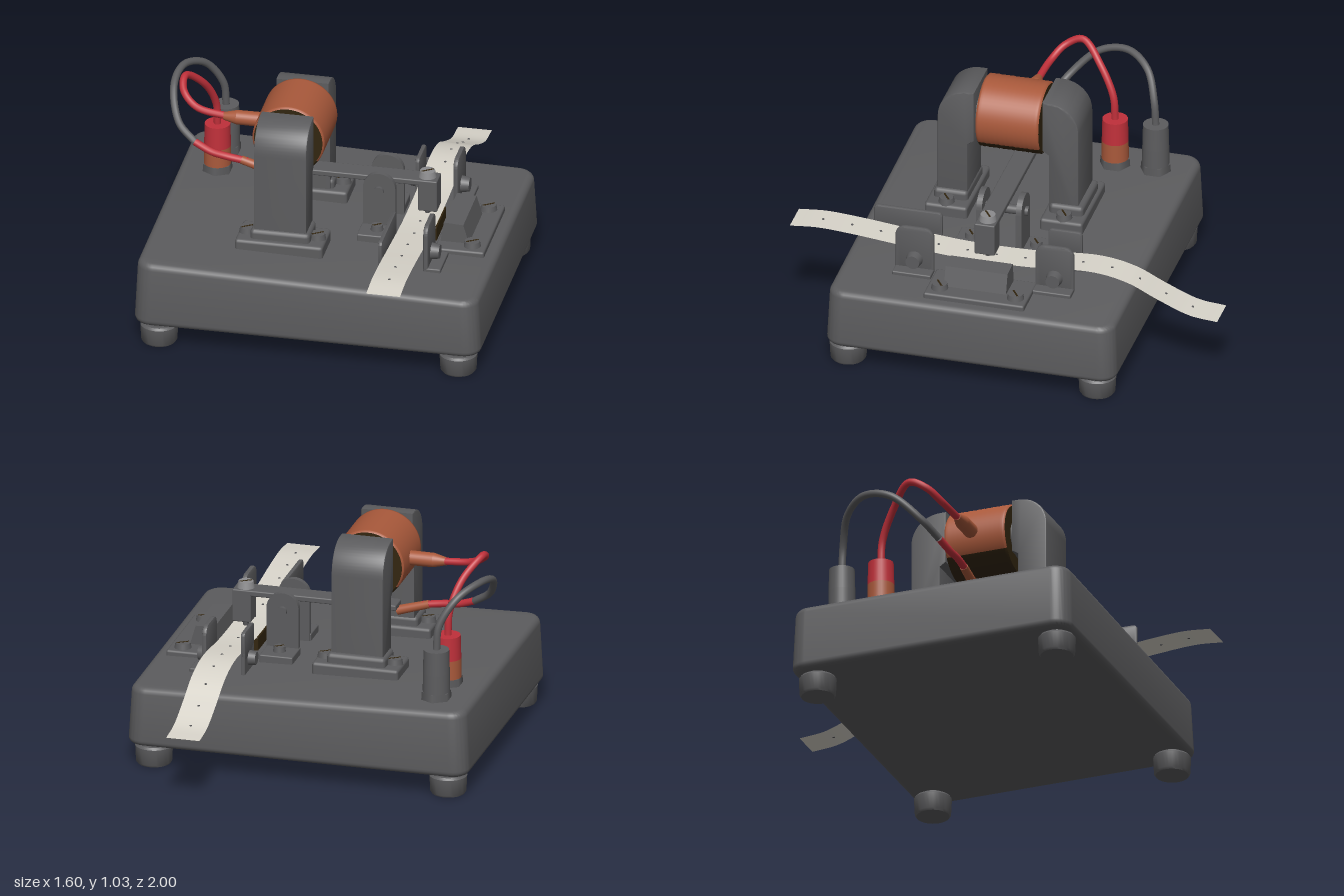
import * as THREE from 'three';
import { toCreasedNormals } from 'three/addons/utils/BufferGeometryUtils.js';
import { RoundedBoxGeometry } from 'three/addons/geometries/RoundedBoxGeometry.js';

const mat = (name, color) => new THREE.MeshStandardMaterial({ name, color });
const V = (x, y, z) => new THREE.Vector3(x, y, z);

export function createModel() {
  const model = new THREE.Group();
  const grey = mat('dark grey metal', 0x5c5c5e);
  const copper = mat('copper winding', 0xa9593b);
  const red = mat('red insulation', 0xc0303a);
  const dark = mat('dark brown', 0x32250f);
  const steel = mat('bright steel', 0x8c8c8e);
  const paper = mat('paper', 0xd8d4ca);
  paper.side = THREE.DoubleSide;

  const add = (name, geo, m = grey) => {
    const mesh = new THREE.Mesh(geo, m);
    mesh.name = name;
    model.add(mesh);
    return mesh;
  };
  // Box given by its limits, with slightly softened edges
  const box = (name, x0, x1, y0, y1, z0, z1, m = grey, r = 0.006) => {
    const g = new RoundedBoxGeometry(x1 - x0, y1 - y0, z1 - z0, 2, r);
    g.translate((x0 + x1) / 2, (y0 + y1) / 2, (z0 + z1) / 2);
    return add(name, g, m);
  };
  // Cylinder between two points
  const rod = (name, a, b, r0, r1, m = grey, sides = 28) => {
    const mesh = add(name, new THREE.CylinderGeometry(r1, r0, a.distanceTo(b), sides), m);
    mesh.position.copy(a).lerp(b, 0.5);
    mesh.quaternion.setFromUnitVectors(V(0, 1, 0), b.clone().sub(a).normalize());
    return mesh;
  };
  // Side profile (z, y) extruded from x0 to x1
  const sidePlate = (name, shape, x0, x1, bevel = 0.006) => {
    const g = new THREE.ExtrudeGeometry(shape, {
      depth: x1 - x0 - 2 * bevel, bevelSize: bevel, bevelThickness: bevel,
      bevelOffset: -bevel, bevelSegments: 2, curveSegments: 14,
    });
    g.rotateY(-Math.PI / 2);
    g.translate(x1 - bevel, 0, 0);
    return add(name, toCreasedNormals(g, 0.6));
  };
  const roundRect = (x0, x1, y0, y1, r) => {
    const s = new THREE.Shape();
    s.absarc(x1 - r, y0 + r, r, -Math.PI / 2, 0);
    s.absarc(x1 - r, y1 - r, r, 0, Math.PI / 2);
    s.absarc(x0 + r, y1 - r, r, Math.PI / 2, Math.PI);
    s.absarc(x0 + r, y0 + r, r, Math.PI, Math.PI * 1.5);
    s.closePath();
    return s;
  };
  // Slotted screw standing on a surface
  const screw = (x, y, z, r = 0.036, m = grey) => {
    rod('screwHead', V(x, y, z), V(x, y + 0.03, z), r, r * 0.85, m);
    const slot = box('screwSlot', -r * 0.75, r * 0.75, 0, 0.004, -0.004, 0.004, dark, 0.001);
    slot.position.set(x, y + 0.028, z);
    slot.rotation.y = 0.6;
  };

  // Base slab: rounded corners, tapered, top falling gently to +x
  const slab = new THREE.ExtrudeGeometry(roundRect(-0.8, 0.8, -0.76, 0.6, 0.08), {
    depth: 0.235, bevelSize: 0.03, bevelThickness: 0.03, bevelOffset: -0.03, bevelSegments: 5, curveSegments: 8,
  });
  slab.rotateX(-Math.PI / 2);
  slab.translate(0, 0.135, 0);
  const p = slab.attributes.position;
  for (let i = 0; i < p.count; i++) {
    const t = (p.getY(i) - 0.105) / 0.295;
    const k = 1 - 0.018 * t;
    p.setXYZ(i, p.getX(i) * k, p.getY(i) - 0.022 * p.getX(i) * t, 0.08 + (p.getZ(i) - 0.08) * k);
  }
  add('base', toCreasedNormals(slab, 0.6));

  // Feet
  for (const x of [-0.69, 0.69]) for (const z of [0.67, -0.495]) {
    const pts = [[0, 0], [0.075, 0], [0.082, 0.01], [0.086, 0.085], [0.078, 0.095], [0.06, 0.095], [0.06, 0.12], [0, 0.12]];
    const g = new THREE.LatheGeometry(pts.map(q => new THREE.Vector2(...q)), 32);
    add('foot', toCreasedNormals(g, 0.6)).position.set(x, 0, z);
  }

  // Magnet posts with flanges and screws, mirrored about the coil
  const cz = 0.13;
  for (const s of [1, -1]) {
    const Z = u => cz + s * u;
    const post = new THREE.Shape();
    post.moveTo(Z(0.19), 0.42);
    post.lineTo(Z(0.33), 0.42);
    post.lineTo(Z(0.33), 0.87);
    post.bezierCurveTo(Z(0.33), 0.95, Z(0.27), 1.01, Z(0.19), 1.01);
    post.lineTo(Z(0.16), 1.01);
    post.lineTo(Z(0.16), 0.76);
    post.lineTo(Z(0.19), 0.74);
    sidePlate('magnetPost', post, -0.3, -0.057);
    const [a, b] = [Z(0.17), Z(0.37)].sort((m, n) => m - n);
    box('postFlange', -0.38, 0.025, 0.38, 0.455, a, b, grey, 0.015);
    box('postCollar', -0.315, -0.04, 0.4, 0.5, a + 0.015, b - 0.025, grey, 0.02);
    for (const x of [-0.34, -0.015]) screw(x, 0.45, Z(0.275), 0.038);
  }

  // Coil: copper winding with a dark underside and dark end cheeks
  rod('core', V(-0.18, 0.865, -0.05), V(-0.18, 0.865, 0.31), 0.09, 0.09);
  const coilPart = (name, start, length, m) => {
    const prof = [[0.158, -0.147], [0.166, -0.14]];
    for (let i = 0; i <= 24; i++) prof.push([0.165 + (i % 2) * 0.002, -0.135 + i * 0.27 / 24]);
    prof.push([0.166, 0.14], [0.158, 0.147]);
    const g = new THREE.LatheGeometry(prof.map(q => new THREE.Vector2(...q)), 40, start, length);
    g.rotateX(Math.PI / 2);
    g.translate(-0.18, 0.865, 0.125);
    add(name, g, m);
  };
  coilPart('coilWinding', -2.18 + Math.PI, 4.36, copper);
  coilPart('coilUnderside', -2.18 + Math.PI + 4.36, Math.PI * 2 - 4.36, dark);
  rod('coilCheeks', V(-0.18, 0.865, -0.022), V(-0.18, 0.865, 0.272), 0.158, 0.158, dark, 40);

  // Vibrating arm with its striker block
  box('arm', -0.29, 0.478, 0.628, 0.655, 0.045, 0.14);
  box('striker', 0.39, 0.478, 0.5, 0.65, 0.045, 0.14);
  rod('strikerPin', V(0.425, 0.47, 0.09), V(0.425, 0.51, 0.09), 0.012, 0.02);
  screw(0.425, 0.655, 0.09, 0.04, steel);

  // Pivot bracket: two round-topped cheeks with outward feet
  for (const [z0, f0, f1] of [[0.155, 0.16, 0.29], [-0.03, -0.15, -0.01]]) {
    const cheek = new THREE.Shape();
    cheek.moveTo(0.145, 0.39);
    cheek.lineTo(0.295, 0.39);
    cheek.absarc(0.22, 0.615, 0.075, 0, Math.PI);
    cheek.closePath();
    const g = new THREE.ExtrudeGeometry(cheek, { depth: 0.026, bevelEnabled: false, curveSegments: 16 });
    g.translate(0, 0, z0);
    add('pivotCheek', toCreasedNormals(g, 0.6));
    box('pivotFoot', 0.14, 0.295, 0.37, 0.43, f0, f1);
    screw(0.22, 0.425, (f0 + f1) / 2, 0.03);
  }
  rod('pivotPin', V(0.22, 0.605, -0.045), V(0.22, 0.605, 0.195), 0.022, 0.022);

  // Anvil under the tape
  box('anvil', 0.34, 0.49, 0.37, 0.455, -0.01, 0.2, dark);

  // Tape guides either side of the tape
  for (const z of [0.41, -0.245]) {
    sidePlate('outerGuide', roundRect(z - 0.09, z + 0.09, 0.36, 0.61, 0.045), 0.49, 0.512);
    box('outerGuideFoot', 0.49, 0.57, 0.37, 0.405, z - 0.09, z + 0.09);
    rod('outerGuideScrew', V(0.505, 0.45, z), V(0.55, 0.45, z), 0.04, 0.032);
    const front = z > 0;
    sidePlate('innerGuide', roundRect(z - 0.08, front ? 0.65 : z + 0.08, 0.46, 0.595, 0.02), 0.313, 0.333);
    box('innerGuideStem', 0.313, 0.333, 0.37, 0.5, z - 0.08, z + 0.08);
    rod('innerGuideScrew', V(0.32, 0.45, z), V(0.28, 0.45, z), 0.036, 0.03);
  }

  // Carbon disc block beside the tape
  box('blockPlate', 0.5, 0.73, 0.36, 0.41, -0.16, 0.31, grey, 0.01);
  const hump = new THREE.Shape();
  [[0.51, 0.38], [0.655, 0.38], [0.62, 0.5], [0.53, 0.505]].forEach(([x, y], i) => i ? hump.lineTo(x, y) : hump.moveTo(x, y));
  const humpGeo = new THREE.ExtrudeGeometry(hump, { depth: 0.29, bevelEnabled: false });
  humpGeo.translate(0, 0, -0.055);
  add('blockHump', humpGeo);
  for (const z of [-0.105, 0.25]) screw(0.665, 0.405, z, 0.04);

  // Paper tape with feed holes
  const run = new THREE.CatmullRomCurve3([[-1, 0.325], [-0.87, 0.34], [-0.72, 0.4], [-0.58, 0.465], [-0.42, 0.495],
    [-0.1, 0.475], [0.2, 0.475], [0.5, 0.5], [0.7, 0.52], [0.87, 0.53], [1, 0.52]].map(([z, y]) => V(0.412, y, z)));
  const tape = new THREE.PlaneGeometry(0.156, 1, 6, 80);
  const tp = tape.attributes.position;
  for (let i = 0; i < tp.count; i++) {
    const c = run.getPoint(Math.min(1, Math.max(0, 0.5 - tp.getY(i))));
    tp.setXYZ(i, 0.412 + tp.getX(i), c.y, c.z);
  }
  tape.computeVertexNormals();
  add('paperTape', tape, paper);
  for (let i = 1; i < 15; i++) {
    const c = run.getPointAt(i / 15);
    rod('tapeHole', c.clone().add(V(0, -0.002, 0)), c.clone().add(V(0, 0.002, 0)), 0.006, 0.006, grey, 8);
  }

  // Terminals: hex nut, two-part cap
  for (const [z, upper, lower] of [[-0.22, red, copper], [-0.41, grey, grey]]) {
    rod('terminalNut', V(-0.61, 0.4, z), V(-0.61, 0.45, z), 0.072, 0.068, grey, 6);
    rod('terminalLower', V(-0.61, 0.45, z), V(-0.61, 0.54, z), 0.062, 0.061, lower);
    rod('terminalUpper', V(-0.61, 0.54, z), V(-0.61, 0.65, z), 0.061, 0.058, upper);
  }

  // Wires and copper end sleeves
  const wire = (name, pts, m) => add(name,
    new THREE.TubeGeometry(new THREE.CatmullRomCurve3(pts.map(q => V(...q))), 60, 0.017, 12), m);
  wire('redWire', [[-0.61, 0.64, -0.22], [-0.615, 0.76, -0.21], [-0.655, 0.89, -0.14], [-0.72, 0.975, -0.04],
    [-0.71, 0.94, 0.04], [-0.64, 0.89, 0.09], [-0.48, 0.868, 0.11]], red);
  rod('redWireSleeve', V(-0.51, 0.87, 0.11), V(-0.45, 0.87, 0.11), 0.018, 0.033, copper);
  rod('redWireFerrule', V(-0.45, 0.87, 0.11), V(-0.33, 0.87, 0.11), 0.033, 0.034, copper);
  wire('greyWire', [[-0.61, 0.64, -0.41], [-0.62, 0.76, -0.4], [-0.69, 0.88, -0.35], [-0.765, 0.925, -0.24],
    [-0.785, 0.89, -0.1], [-0.735, 0.77, 0.03], [-0.65, 0.705, 0.08]], grey);
  wire('leadWire', [[-0.65, 0.705, 0.08], [-0.57, 0.675, 0.1], [-0.5, 0.665, 0.11], [-0.4, 0.65, 0.11]], red);
  rod('leadSleeve', V(-0.43, 0.655, 0.11), V(-0.28, 0.61, 0.11), 0.019, 0.022, copper);

  return model;
}
